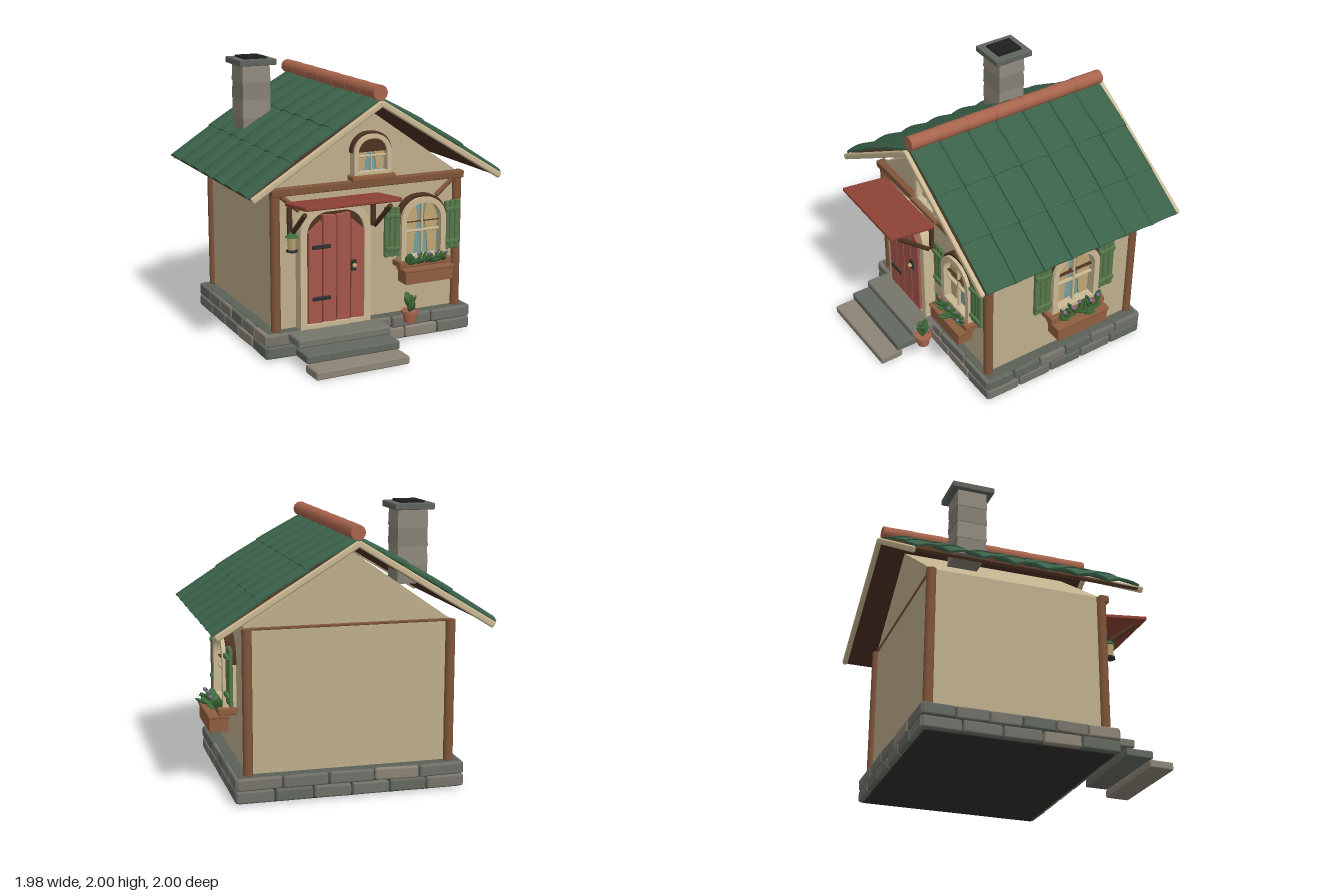
import * as THREE from 'three';
import { RoundedBoxGeometry } from 'three/addons/geometries/RoundedBoxGeometry.js';
import { toCreasedNormals } from 'three/addons/utils/BufferGeometryUtils.js';

const C = { wall: 0xbfae8c, cream: 0xcbb994, wood: 0x80553a, darkWood: 0x4d3222, red: 0xa5564a, awning: 0x8f4335,
  tile: 0x3a6149, ridge: 0xa8644c, glass: 0x74a0a0, curtain: 0xbfa673, shutter: 0x55774a, leaf: 0x3f6b3a,
  flower: 0x8d6a9c, iron: 0x2e3030, dark: 0x30322e, ledge: 0x5b6156, box: 0x8f5e40 };
const STONES = [0x77756c, 0x8c8476, 0x62685f, 0x6f7069];
const CX = -0.01, WALL_Z = 0.475, WALL_X = 0.71;

const mats = {};
const mat = (c) => (mats[c] ??= new THREE.MeshStandardMaterial({ color: c, side: THREE.DoubleSide }));
let seed = 7;
const rnd = (a, b) => { seed = (seed * 16807) % 2147483647; return a + (b - a) * seed / 2147483647; };

function add(parent, name, geo, color, x = 0, y = 0, z = 0) {
  const m = new THREE.Mesh(geo, mat(color));
  m.name = name;
  m.position.set(x, y, z);
  parent.add(m);
  return m;
}
function group(parent, name, x = 0, y = 0, z = 0) {
  const g = new THREE.Group();
  g.name = name;
  g.position.set(x, y, z);
  parent.add(g);
  return g;
}
// Softened box given by its size and centre
const block = (p, name, c, w, h, d, x, y, z, r = 0.008) =>
  add(p, name, new RoundedBoxGeometry(w, h, d, 1, Math.min(r, w / 3, h / 3, d / 3)), c, x, y, z);
// Round bar between two points
function bar(p, name, c, a, b, r, sides = 12) {
  const A = new THREE.Vector3(...a), B = new THREE.Vector3(...b), d = B.clone().sub(A);
  const m = add(p, name, new THREE.CylinderGeometry(r, r, d.length(), sides), c);
  m.position.copy(A).lerp(B, 0.5);
  m.quaternion.setFromUnitVectors(new THREE.Vector3(0, 1, 0), d.normalize());
  return m;
}
const extrude = (shape, depth) => toCreasedNormals(
  new THREE.ExtrudeGeometry(shape, { depth, bevelEnabled: false, curveSegments: 10 }), 0.6);
// Door or window outline with round top corners
function arch(w, y0, h, r, T = THREE.Shape) {
  const s = new T(), a = w / 2;
  s.moveTo(-a, y0); s.lineTo(a, y0); s.lineTo(a, h - r);
  s.absarc(a - r, h - r, r, 0, Math.PI / 2);
  s.absarc(-a + r, h - r, r, Math.PI / 2, Math.PI);
  s.lineTo(-a, y0);
  return s;
}
function archRing(w, y0, h, r, t, bottom = t) {
  const s = arch(w, y0, h, r);
  s.holes.push(arch(w - 2 * t, y0 + bottom, h - t, r - t, THREE.Path));
  return s;
}
const poly = (pts) => new THREE.Shape(pts.map((p) => new THREE.Vector2(...p)));

function leaf(p, x, y, z, len, yaw, pitch) {
  const g = new THREE.SphereGeometry(1, 7, 5);
  g.scale(len * 0.32, len / 2, len * 0.12);
  g.translate(0, len / 2, 0);
  const m = add(p, 'leaf', g, C.leaf, x, y, z);
  m.rotation.set(pitch, yaw, 0, 'YXZ');
}

// Arched window; its frame lies on the wall plane with +z pointing outwards
function makeWindow(parent, name, h, full) {
  const g = group(parent, name);
  add(g, 'archTrim', extrude(archRing(0.385, h * 0.6, h + 0.01, 0.175, 0.03, 0.001), 0.06), C.darkWood);
  add(g, 'frame', extrude(archRing(0.36, 0, h - 0.008, 0.165, 0.04), 0.085), C.cream);
  add(g, 'glass', extrude(arch(0.3, 0.02, h - 0.03, 0.13), 0.02), C.glass);
  const t = h - 0.06;
  for (const s of [-1, 1]) {
    const curtain = [[0.045, t], [0.1, t - 0.02], [0.135, t * 0.75], [0.125, 0.05], [0.06, 0.05], [0.045, t * 0.5], [0.025, t * 0.75]];
    add(g, 'curtain', extrude(poly(curtain.map(([x, y]) => [x * s, y])), 0.012), C.curtain, 0, 0, 0.022);
  }
  block(g, 'mullion', C.cream, 0.016, h - 0.06, 0.025, 0, h / 2, 0.045);
  block(g, 'crossbar', C.cream, 0.3, 0.016, 0.025, 0, h * 0.46, 0.045);
  block(g, 'sill', C.box, 0.42, 0.045, 0.12, 0, -0.01, 0.06);
  if (!full) return g;

  // Shutters
  for (const s of [-1, 1]) {
    const sh = group(g, 'shutter', s * 0.245, 0.23, 0.055);
    for (const i of [-1, 0, 1])
      block(sh, 'shutterBoard', C.shutter, 0.04, 0.36 + rnd(-0.012, 0.012), 0.025, i * 0.042, rnd(-0.006, 0.006), 0);
    for (const y of [-0.12, 0.12]) block(sh, 'shutterRail', C.shutter, 0.12, 0.03, 0.022, 0, y, 0.018).rotation.z = s * 0.04;
  }
  // Flower box
  const box = add(g, 'flowerBox', new THREE.BoxGeometry(0.39, 0.1, 0.12), C.box, 0, -0.09, 0.115);
  const p = box.geometry.attributes.position;
  for (let i = 0; i < p.count; i++) if (p.getY(i) < 0) p.setX(i, p.getX(i) * 0.97);
  block(g, 'boxRim', C.box, 0.41, 0.022, 0.135, 0, -0.043, 0.115);
  for (let i = 0; i < 9; i++) {
    const x = -0.14 + i * 0.035;
    leaf(g, x, -0.01, 0.12, rnd(0.07, 0.1), rnd(-0.6, 0.6), rnd(0.5, 1.1));
    leaf(g, x, -0.01, 0.11, rnd(0.07, 0.1), rnd(-1.6, 1.6), 0.4);
    if (i % 2 === 0) add(g, 'flower', new THREE.IcosahedronGeometry(0.014, 0), C.flower, x + 0.01, 0.06, 0.13 + rnd(-0.02, 0.03));
  }
  leaf(g, 0.02, 0.0, 0.15, 0.1, 0.2, 1.1);
  return g;
}

function foundation(root) {
  const g = group(root, 'foundation', CX, 0, -0.15);
  block(g, 'baseSlab', C.dark, 1.56, 0.17, 1.32, 0, 0.087, 0);
  block(g, 'ledge', C.ledge, 1.58, 0.02, 1.34, 0, 0.182, 0);
  const stone = (name, w, h, d, x, y, z) => {
    const m = block(g, name, STONES[Math.floor(rnd(0, 4))], w, h, d, x, y, z, 0.015);
    m.rotation.set(rnd(-0.02, 0.02), rnd(-0.02, 0.02), rnd(-0.02, 0.02));
  };
  for (let row = 0; row < 2; row++) for (const s of [-1, 1]) {
    const y = 0.055 + row * 0.09, nx = 6 - row, nz = 5 + row;
    for (let i = 0; i < nx; i++) stone('stone', 1.62 / nx - 0.008, 0.086, 0.1, -0.81 + 1.62 * (i + 0.5) / nx, y, s * 0.645);
    for (let i = 0; i < nz; i++) stone('stone', 0.1, 0.086, 1.38 / nz - 0.008, s * 0.765, y, -0.69 + 1.38 * (i + 0.5) / nz);
  }
  // Three steps to the door
  [[0.915, 0.032, 0.18], [0.76, 0.095, 0.2], [0.63, 0.16, 0.19]].forEach(([z, y, d], i) => {
    block(root, 'step', STONES[[1, 2, 0][i]], 0.71, 0.06, d, -0.305, y, z, 0.012).rotation.y = i ? 0 : 0.02;
  });
}

function walls(root) {
  const g = group(root, 'walls');
  const d = WALL_Z + 0.775;
  add(g, 'wallBody', new THREE.BoxGeometry(1.44, 1.0, d), C.wall, CX, 0.7, -0.15);
  add(g, 'gable', extrude(poly([[-0.72, 1.2], [0.72, 1.2], [0, 1.7]]), d), C.wall, CX, 0, -0.775);
  for (const x of [-0.725, 0.705]) for (const z of [0.475, -0.775])
    bar(g, 'cornerPost', C.wood, [x, 0.19, z], [x, 1.2, z], 0.035);
  block(g, 'frontBeam', C.wood, 1.5, 0.055, 0.07, CX, 1.185, 0.49);
  block(g, 'backBeam', C.wood, 1.44, 0.02, 0.02, CX, 1.2, -0.775);
  for (const s of [-1, 1]) bar(g, 'brace', C.wood, [CX + s * 0.69, 1.165, 0.485], [CX + s * 0.54, 1.04, 0.485], 0.018, 8);
}

function roof(root) {
  const g = group(root, 'roof', CX, 1.77, -0.15);
  const angle = Math.atan(0.585 / 0.955), L = 1.115, w = 1.605 / 7, len = L / 3 + 0.03;
  for (const yaw of [0, Math.PI]) {
    const side = group(g, 'roofSide');
    side.rotation.y = yaw;
    const slope = group(side, 'slope');
    slope.rotation.z = -angle;
    add(slope, 'roofBoard', new THREE.BoxGeometry(L, 0.02, 1.6), C.darkWood, L / 2, 0, 0);
    for (const z of [-0.822, 0.822]) block(slope, 'bargeBoard', C.cream, L + 0.015, 0.045, 0.036, L / 2, 0, z, 0.012);
    // Three overlapping courses of arched tiles
    for (let c = 0; c < 3; c++) for (let i = 0; i < 7; i++) {
      const u = (c + 0.5) * L / 3;
      const geo = new THREE.BoxGeometry(len, 0.015, w - 0.006, 4, 1, 8), p = geo.attributes.position;
      for (let k = 0; k < p.count; k++) {
        const a = 2 * p.getZ(k) / w, t = u + p.getX(k);
        p.setY(k, p.getY(k) + 0.024 * (1 - a * a) + 0.02 * Math.sin(Math.PI * Math.min(1, Math.max(0, t / L))));
      }
      geo.computeVertexNormals();
      const m = add(slope, 'roofTile', toCreasedNormals(geo, 0.7), C.tile, u, 0.019, (i - 3) * w);
      m.rotation.set(rnd(-0.02, 0.02), 0, 0.022 + rnd(-0.006, 0.006));
    }
  }
  for (let i = 0; i < 7; i++) {
    const m = add(g, 'ridgeTile', new THREE.CylinderGeometry(0.054, 0.051, w, 16), C.ridge, 0, 0.07, (i - 3) * w);
    m.rotation.x = Math.PI / 2;
  }
}

function chimney(root) {
  const g = group(root, 'chimney', -0.515, 0, -0.455);
  for (let i = 0; i < 4; i++) {
    const geo = new THREE.CylinderGeometry(0.15, 0.156, 0.132, 4, 1).toNonIndexed();
    geo.rotateY(Math.PI / 4);
    geo.computeVertexNormals();
    add(g, 'chimneyCourse', geo, [0x857f73, 0x8f897c][i % 2], 0, 1.49 + i * 0.13, 0);
  }
  block(g, 'chimneyCap', 0x5f645e, 0.285, 0.045, 0.31, 0, 1.963, 0, 0.006);
  block(g, 'flueOpening', 0x1e1f1e, 0.17, 0.016, 0.2, 0, 1.992, 0, 0.002);
}

function door(root) {
  const g = group(root, 'door', -0.302, 0.2, WALL_Z);
  add(g, 'doorFrame', extrude(archRing(0.54, 0, 0.88, 0.21, 0.05, 0.03), 0.085), C.cream);
  add(g, 'doorBack', extrude(arch(0.45, 0.02, 0.84, 0.17), 0.06), C.darkWood);
  [[0.69, 0.77], [0.81, 0.8], [0.8, 0.81], [0.77, 0.68]].forEach(([a, b], i) => {
    const x0 = -0.215 + i * 0.108, x1 = x0 + 0.1;
    add(g, 'doorPlank', extrude(poly([[x0, 0.045], [x1, 0.04], [x1 + 0.002, b], [x0 + 0.003, a]]), 0.04), C.red, 0, 0, 0.06);
  });
  for (const y of [0.22, 0.59]) block(g, 'hinge', C.iron, 0.14, 0.028, 0.02, -0.12, y, 0.105);
  block(g, 'lockPlate', C.iron, 0.045, 0.08, 0.015, 0.125, 0.43, 0.105);
  add(g, 'doorKnob', new THREE.SphereGeometry(0.017, 10, 8), C.curtain, 0.125, 0.43, 0.122);
}

function awning(root) {
  const g = group(root, 'awning');
  block(g, 'awningRoof', C.awning, 0.715, 0.028, 0.36, -0.307, 1.12, 0.685).rotation.x = -0.11;
  for (const x of [-0.63, 0.01]) {
    block(g, 'awningPost', C.darkWood, 0.035, 0.2, 0.03, x, 0.98, 0.51);
    bar(g, 'awningStrut', C.darkWood, [x, 1.08, 0.77], [x, 0.89, 0.54], 0.018, 6);
  }
}

function lantern(root) {
  const g = group(root, 'lantern', -0.64, 0.78, 0.57);
  bar(g, 'lanternHook', C.iron, [0, 0.13, 0], [0, 0.2, -0.02], 0.006, 6);
  add(g, 'lanternRoof', new THREE.ConeGeometry(0.05, 0.045, 6), C.leaf, 0, 0.125, 0);
  add(g, 'lanternGlass', new THREE.CylinderGeometry(0.033, 0.027, 0.09, 6), C.curtain, 0, 0.058, 0);
  add(g, 'lanternBase', new THREE.CylinderGeometry(0.038, 0.042, 0.015, 6), C.iron, 0, 0.007, 0);
}

function pottedPlant(root) {
  const g = group(root, 'pottedPlant', 0.2, 0.2, 0.72);
  const profile = [[0, 0], [0.043, 0], [0.052, 0.065], [0.062, 0.065], [0.062, 0.09], [0.05, 0.09], [0.048, 0.075], [0, 0.075]];
  add(g, 'pot', toCreasedNormals(new THREE.LatheGeometry(profile.map((p) => new THREE.Vector2(...p)), 16), 0.6), C.ridge);
  bar(g, 'stem', C.leaf, [0, 0.07, 0], [0, 0.17, 0], 0.005, 6);
  for (let i = 0; i < 5; i++) leaf(g, 0, 0.075 + i * 0.012, 0, 0.1, i * 2.4, 0.45);
  leaf(g, 0, 0.13, 0, 0.075, 0.5, 0.2);
}

export function createModel() {
  seed = 7;
  const root = new THREE.Group();
  root.name = 'cottage';
  foundation(root);
  walls(root);
  roof(root);
  chimney(root);
  door(root);
  awning(root);
  lantern(root);
  pottedPlant(root);
  makeWindow(root, 'frontWindow', 0.47, true).position.set(0.395, 0.59, WALL_Z);
  const side = makeWindow(root, 'sideWindow', 0.47, true);
  side.position.set(WALL_X, 0.565, -0.21);
  side.rotation.y = Math.PI / 2;
  side.scale.setScalar(1.12);
  const small = makeWindow(root, 'gableWindow', 0.375, false);
  small.position.set(CX, 1.245, WALL_Z);
  small.scale.setScalar(0.8);
  return root;
}
